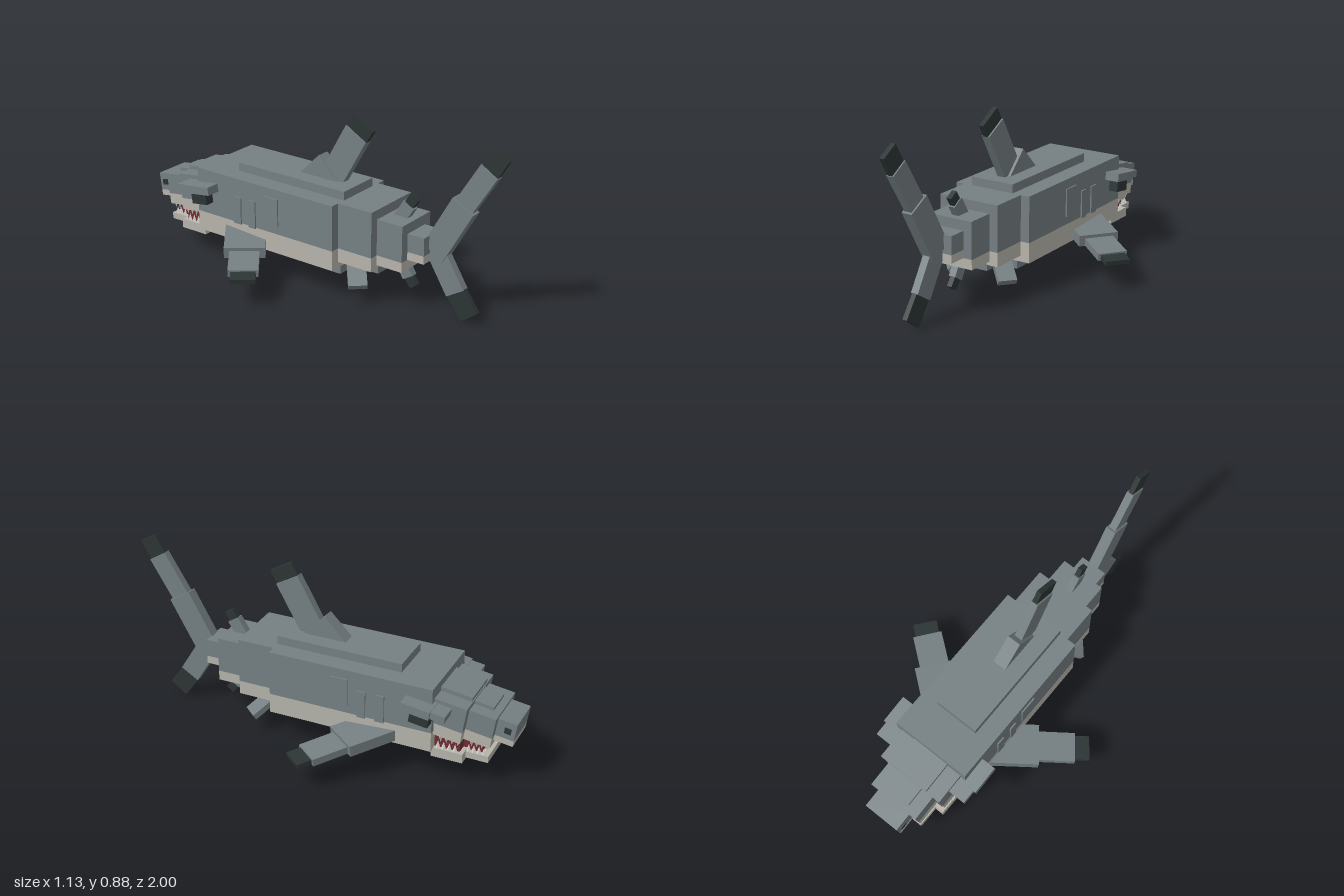
import * as THREE from 'three';

const mat = (name, color) => Object.assign(new THREE.MeshStandardMaterial({ color }), { name });

export function createModel() {
  const root = new THREE.Group();
  root.name = 'shark';
  const grey = mat('slate grey', 0x757f82);
  const pale = mat('pale belly', 0xb6b4ab);
  const dark = mat('dark fin tip', 0x2c3534);
  const red = mat('gum red', 0x702c32);
  const white = mat('tooth white', 0xd9d7d0);

  // Box given by its extents along each axis
  function block(parent, name, m, x0, x1, y0, y1, z0, z1) {
    const mesh = new THREE.Mesh(new THREE.BoxGeometry(x1 - x0, y1 - y0, z1 - z0), m);
    mesh.position.set((x0 + x1) / 2, (y0 + y1) / 2, (z0 + z1) / 2);
    mesh.name = name;
    parent.add(mesh);
    return mesh;
  }
  // Grey back over a pale underside
  function twoTone(parent, name, hw, y0, split, y1, z0, z1) {
    block(parent, name + 'Back', grey, -hw, hw, split, y1, z0, z1);
    block(parent, name + 'Belly', pale, -hw, hw, y0, split, z0, z1);
  }
  // Box running from point a to point b; thin is the axis of its thickness
  function limb(parent, name, m, a, b, width, thickness, thin) {
    const A = new THREE.Vector3(...a), B = new THREE.Vector3(...b);
    const dir = B.clone().sub(A), len = dir.length();
    dir.normalize();
    const side = new THREE.Vector3().crossVectors(dir, new THREE.Vector3(...thin)).normalize();
    const normal = new THREE.Vector3().crossVectors(side, dir);
    const mesh = new THREE.Mesh(new THREE.BoxGeometry(width, len, thickness), m);
    mesh.quaternion.setFromRotationMatrix(new THREE.Matrix4().makeBasis(side, dir, normal));
    mesh.position.copy(A.add(B).multiplyScalar(0.5));
    mesh.name = name;
    parent.add(mesh);
  }

  // Trunk, stepping down towards the tail
  twoTone(root, 'trunk', 0.207, 0.16, 0.26, 0.487, -0.63, 0.2);
  block(root, 'backRidge', grey, -0.115, 0.115, 0.48, 0.53, -0.44, 0.2);
  block(root, 'bellyPlate', grey, -0.14, 0.14, 0.12, 0.165, -0.63, 0.2);
  twoTone(root, 'hindBody', 0.16, 0.19, 0.26, 0.487, 0.2, 0.39);
  block(root, 'hindBellyPlate', grey, -0.1, 0.1, 0.16, 0.195, 0.2, 0.39);
  twoTone(root, 'tailBase', 0.115, 0.21, 0.26, 0.44, 0.39, 0.53);
  twoTone(root, 'tailStem', 0.07, 0.26, 0.3, 0.39, 0.53, 0.62);

  // Gill plates
  for (const s of [-1, 1]) {
    for (const [z0, z1, y0, y1] of [[-0.21, -0.12, 0.3, 0.44], [-0.3, -0.26, 0.255, 0.395], [-0.395, -0.35, 0.255, 0.395]]) {
      const gill = block(root, 'gillPlate', grey, -0.004, 0.004, y0, y1, z0, z1);
      gill.position.x = s * 0.21;
    }
  }

  // Fins in the middle plane
  const X = [1, 0, 0];
  limb(root, 'dorsalFinBase', grey, [0, 0.475, -0.065], [0, 0.585, 0.045], 0.155, 0.07, X);
  limb(root, 'dorsalFin', grey, [0, 0.5, 0.035], [0, 0.785, 0.195], 0.13, 0.042, X);
  limb(root, 'dorsalFinTip', dark, [0, 0.785, 0.195], [0, 0.845, 0.23], 0.13, 0.026, X);
  limb(root, 'rearDorsalFin', grey, [0, 0.4, 0.43], [0, 0.505, 0.495], 0.065, 0.036, X);
  limb(root, 'rearDorsalFinTip', dark, [0, 0.505, 0.495], [0, 0.545, 0.52], 0.05, 0.026, X);
  limb(root, 'analFin', grey, [0, 0.24, 0.44], [0, 0.14, 0.5], 0.06, 0.036, X);
  limb(root, 'analFinTip', dark, [0, 0.14, 0.5], [0, 0.1, 0.53], 0.045, 0.026, X);
  limb(root, 'upperTailBase', grey, [0, 0.31, 0.64], [0, 0.575, 0.79], 0.125, 0.055, X);
  limb(root, 'upperTail', grey, [0, 0.5, 0.745], [0, 0.765, 0.91], 0.1, 0.038, X);
  limb(root, 'upperTailTip', dark, [0, 0.765, 0.91], [0, 0.852, 0.962], 0.095, 0.025, X);
  limb(root, 'lowerTail', grey, [0, 0.33, 0.64], [0, 0.135, 0.76], 0.105, 0.038, X);
  limb(root, 'lowerTailTip', dark, [0, 0.135, 0.76], [0, 0.032, 0.835], 0.105, 0.025, X);

  // Paired fins
  const Y = [0, 1, 0];
  for (const s of [-1, 1]) {
    limb(root, 'pectoralFinBase', grey, [s * 0.1, 0.205, -0.41], [s * 0.33, 0.178, -0.23], 0.2, 0.055, Y);
    limb(root, 'pectoralFin', grey, [s * 0.28, 0.178, -0.27], [s * 0.47, 0.153, -0.122], 0.145, 0.036, Y);
    limb(root, 'pectoralFinTip', dark, [s * 0.47, 0.153, -0.122], [s * 0.525, 0.144, -0.077], 0.12, 0.022, Y);
    limb(root, 'pelvicFin', grey, [s * 0.06, 0.19, 0.23], [s * 0.17, 0.097, 0.325], 0.09, 0.03, Y);
  }

  // Head, tilted slightly nose down
  const head = new THREE.Group();
  head.name = 'head';
  head.position.set(0, 0.3, -0.63);
  head.rotation.x = -0.14;
  root.add(head);
  twoTone(head, 'skull', 0.178, -0.06, 0, 0.13, -0.14, 0.04);
  block(head, 'skullPlate', grey, -0.1, 0.1, 0.12, 0.15, -0.135, 0.04);
  twoTone(head, 'muzzle', 0.135, -0.055, 0, 0.105, -0.27, -0.13);
  block(head, 'muzzlePlate', grey, -0.07, 0.07, 0.1, 0.122, -0.235, -0.13);
  twoTone(head, 'snout', 0.095, -0.03, 0, 0.09, -0.363, -0.26);
  for (const s of [-1, 1]) {
    const nostril = block(head, 'nostril', dark, -0.004, 0.004, 0.03, 0.058, -0.342, -0.31);
    nostril.position.x = s * 0.097;
    const brow = block(head, 'brow', grey, -0.05, 0.05, 0.072, 0.113, 0, 0.145);
    brow.position.x = s * 0.23;
    const browFront = block(head, 'browFront', grey, -0.05, 0.05, 0.075, 0.11, -0.07, 0);
    browFront.position.x = s * 0.217;
    const eye = block(head, 'eye', dark, -0.05, 0.05, 0.012, 0.075, 0.005, 0.1);
    eye.position.x = s * 0.205;
  }

  // Mouth and lower jaw
  block(root, 'gums', red, -0.155, 0.155, 0.155, 0.25, -0.755, -0.62);
  block(root, 'frontGums', red, -0.105, 0.105, 0.15, 0.235, -0.85, -0.75);
  block(root, 'jaw', pale, -0.175, 0.175, 0.118, 0.165, -0.775, -0.62);
  block(root, 'frontJaw', pale, -0.13, 0.13, 0.125, 0.158, -0.885, -0.77);
  block(root, 'chin', pale, -0.09, 0.09, 0.1, 0.12, -0.78, -0.62);

  // Teeth: four-sided spikes from both jaws
  const toothGeo = new THREE.ConeGeometry(0.013, 0.04, 4).toNonIndexed();
  toothGeo.computeVertexNormals();
  function tooth(x, z, top, bottom) {
    for (const up of [true, false]) {
      const t = new THREE.Mesh(toothGeo, white);
      t.name = up ? 'lowerTooth' : 'upperTooth';
      t.position.set(x, up ? bottom + 0.018 : top - 0.018, up ? z : z - 0.012);
      if (!up) t.rotation.x = Math.PI;
      root.add(t);
    }
  }
  for (const s of [-1, 1]) {
    for (let i = 0; i < 4; i++) tooth(s * 0.162, -0.65 - i * 0.028, 0.235, 0.165);
    for (let i = 0; i < 4; i++) tooth(s * 0.117, -0.785 - i * 0.025, 0.222, 0.156);
  }
  for (let i = -3; i <= 3; i++) tooth(i * 0.03, -0.862, 0.22, 0.156);

  return root;
}
